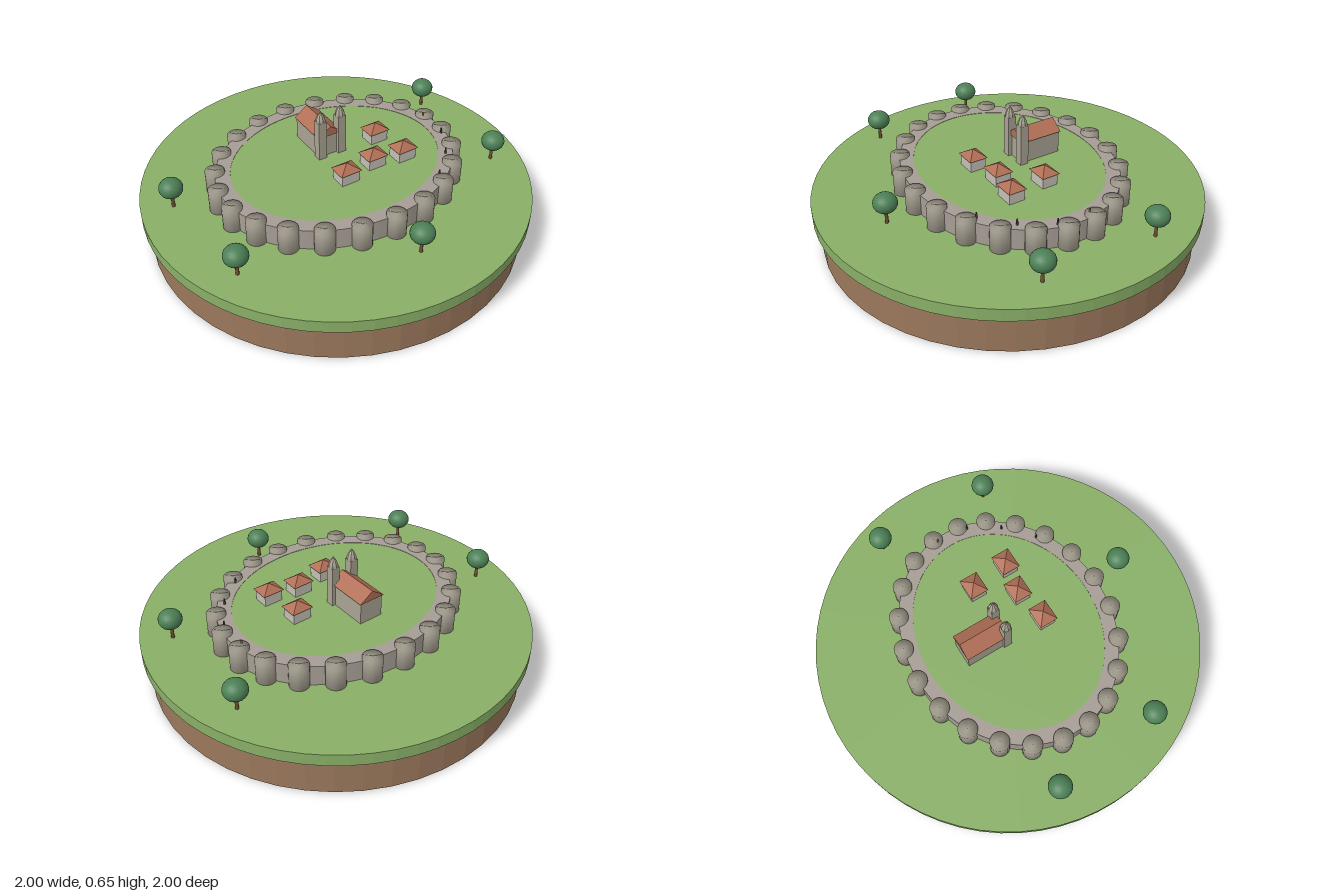
import * as THREE from 'three';

const mat = (name, color) => {
  const m = new THREE.MeshStandardMaterial({ color });
  m.name = name;
  return m;
};

// Faceted copy of a geometry
function flat(geometry) {
  const g = geometry.index ? geometry.toNonIndexed() : geometry;
  g.computeVertexNormals();
  return g;
}

function add(parent, name, geometry, material, x = 0, y = 0, z = 0) {
  const mesh = new THREE.Mesh(geometry, material);
  mesh.name = name;
  mesh.position.set(x, y, z);
  parent.add(mesh);
  return mesh;
}

function ellipse(a, b) {
  const s = new THREE.Shape();
  s.absellipse(0, 0, a, b, 0, Math.PI * 2);
  return s;
}

// Upright slab cut from a flat outline
function slab(shape, height) {
  const g = new THREE.ExtrudeGeometry(shape, { depth: height, bevelEnabled: false, curveSegments: 64 });
  return flat(g.rotateX(-Math.PI / 2));
}

// Four-sided pyramid with a rectangular base standing on y = 0
function pyramid(w, h, d) {
  const g = new THREE.ConeGeometry(Math.SQRT1_2, h, 4).rotateY(Math.PI / 4);
  return flat(g.translate(0, h / 2, 0).scale(w, 1, d));
}

export function createModel() {
  const grass = mat('grass', 0x89af67);
  const earth = mat('earth', 0x9b785c);
  const wallStone = mat('wall stone', 0xa69d95);
  const towerStone = mat('tower stone', 0x9f998b);
  const churchStone = mat('church stone', 0xaaa493);
  const tile = mat('roof tile', 0xb06e55);
  const plaster = mat('plaster', 0xc4c1b6);
  const leaf = mat('leaf', 0x4c8056);
  const bark = mat('bark', 0x75502f);
  const dark = mat('dark cloth', 0x4a4640);

  const model = new THREE.Group();
  model.name = 'walledHillTown';
  const GROUND = 0.265, HILL = 0.373;

  // Round base
  add(model, 'earthBase', flat(new THREE.CylinderGeometry(0.97, 0.97, 0.2, 48)), earth, 0, 0.1, 0);
  add(model, 'grassDisc', flat(new THREE.CylinderGeometry(1, 1, 0.065, 64)), grass, 0, 0.2325, 0);

  // Town, turned on its raised oval
  const town = new THREE.Group();
  town.name = 'town';
  town.rotation.y = -THREE.MathUtils.degToRad(22);
  model.add(town);

  // Ring wall and the green filling it
  const A = 0.632, B = 0.528;
  const ring = ellipse(A, B);
  ring.holes.push(ellipse(A - 0.078, B - 0.07));
  add(town, 'ringWall', slab(ring, 0.11), wallStone, 0, GROUND, 0);
  add(town, 'townGreen', slab(ellipse(A - 0.077, B - 0.069), HILL - GROUND), grass, 0, GROUND, 0);

  // Round wall towers, with softened rims
  const towerProfile = [[0, 0], [0.05, 0], [0.05, 0.12], [0, 0.122]].map(p => new THREE.Vector2(...p));
  const towerGeometry = new THREE.LatheGeometry(towerProfile, 20);
  for (let i = 0; i < 22; i++) {
    const t = (i + 0.5) * Math.PI * 2 / 22;
    add(town, 'wallTower', towerGeometry, towerStone, A * Math.cos(t), GROUND, B * Math.sin(t));
  }

  // Church: nave, gable roof, two spired towers
  const church = new THREE.Group();
  church.name = 'church';
  church.position.set(-0.005, HILL, -0.16);
  town.add(church);
  add(church, 'nave', new THREE.BoxGeometry(0.13, 0.12, 0.225), churchStone, 0, 0.06, 0);
  const gable = new THREE.Shape([[-0.072, 0], [0.072, 0], [0, 0.052]].map(p => new THREE.Vector2(...p)));
  const roof = new THREE.ExtrudeGeometry(gable, { depth: 0.236, bevelEnabled: false });
  add(church, 'naveRoof', roof, tile, 0, 0.118, -0.118);
  const spireProfile = [[0.026, 0], [0.024, 0.016], [0.016, 0.036], [0, 0.058]].map(p => new THREE.Vector2(...p));
  const spire = flat(new THREE.LatheGeometry(spireProfile, 8));
  for (const side of [-1, 1]) {
    const x = side * 0.057 + 0.003;
    add(church, 'bellTower', new THREE.BoxGeometry(0.045, 0.216, 0.045), churchStone, x, 0.108, 0.11);
    add(church, 'spire', spire, churchStone, x, 0.216, 0.11);
  }

  // Houses with hipped roofs
  for (const [x, z] of [[-0.05, 0.175], [0.132, 0.141], [0.267, -0.039], [0.295, 0.169]]) {
    const house = new THREE.Group();
    house.name = 'house';
    house.position.set(x, HILL, z);
    add(house, 'houseWalls', new THREE.BoxGeometry(0.1, 0.062, 0.085), plaster, 0, 0.031, 0);
    add(house, 'houseRoof', pyramid(0.118, 0.037, 0.1), tile, 0, 0.061, 0);
    town.add(house);
  }

  // Tiny guards on the wall walk
  for (const [x, z, m] of [[0.36, 0.435, dark], [0.507, 0.326, dark], [0.18, 0.5, dark], [0.58, 0.17, tile]]) {
    add(model, 'guard', new THREE.CylinderGeometry(0.004, 0.006, 0.032, 8), m, x, 0.39, z);
  }

  // Trees outside the wall
  const crown = new THREE.SphereGeometry(0.06, 20, 14).scale(1, 0.85, 1);
  const trunk = new THREE.CylinderGeometry(0.007, 0.009, 0.09, 8);
  for (const [x, z] of [[-0.67, -0.503], [-0.84, 0.064], [-0.24, 0.652], [0.597, 0.586], [0.845, 0.011]]) {
    const tree = new THREE.Group();
    tree.name = 'tree';
    tree.position.set(x, GROUND, z);
    add(tree, 'trunk', trunk, bark, 0, 0.045, 0);
    add(tree, 'crown', crown, leaf, 0, 0.113, 0);
    model.add(tree);
  }
  return model;
}
